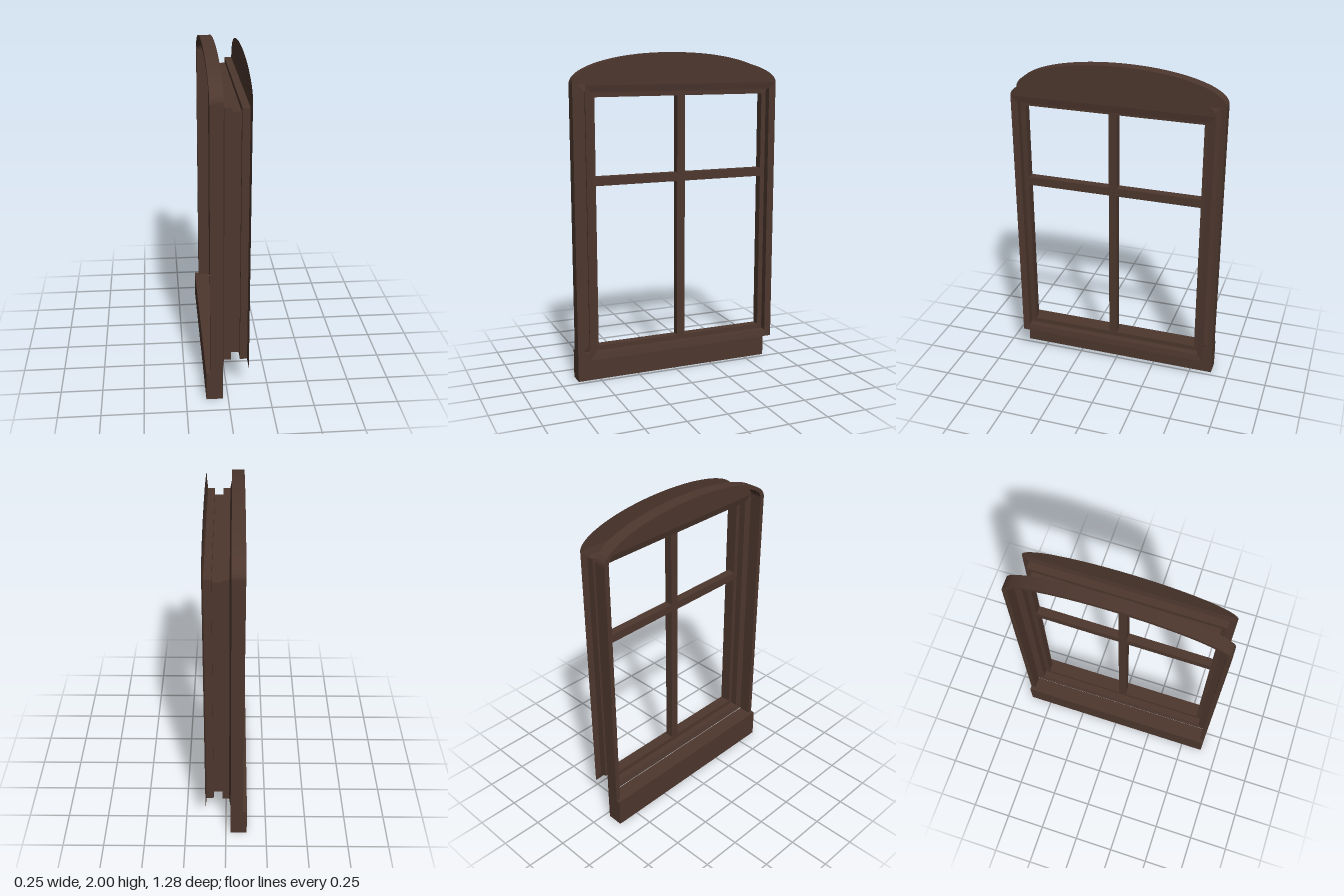
import * as THREE from 'three';

const wood = new THREE.MeshStandardMaterial({ color: 0x4d372e });
wood.name = 'darkBrownWood';
const sheetWood = wood;
sheetWood.side = THREE.DoubleSide;

// Main dimensions
const OPEN_Z = 0.54, OPEN_BOTTOM = 0.257, OPEN_TOP = 1.748;
const SPRING = 1.818;           // height where the arches start
const TRIM = 0.07;              // how far the trim spreads beyond the opening
const INNER_Z = OPEN_Z + TRIM, OUTER_Z = 0.64;
const INNER_RISE = 0.158, OUTER_RISE = 0.182;

export function createModel() {
  const group = new THREE.Group();
  group.name = 'archedWindow';

  const add = (name, geometry) => {
    const mesh = new THREE.Mesh(geometry, wood);
    mesh.name = name;
    group.add(mesh);
    return mesh;
  };

  const addBox = (name, x0, x1, y0, y1, z0, z1) => {
    const mesh = add(name, new THREE.BoxGeometry(x1 - x0, y1 - y0, z1 - z0));
    mesh.position.set((x0 + x1) / 2, (y0 + y1) / 2, (z0 + z1) / 2);
  };

  // Sill
  addBox('sill', -0.13, -0.03, 0, 0.182, -OUTER_Z, OUTER_Z);

  // Arched outer rim, open at the bottom where it meets the sill
  const rim = new THREE.Shape();
  rim.moveTo(OUTER_Z, 0.18);
  rim.lineTo(OUTER_Z, SPRING);
  rim.absellipse(0, SPRING, OUTER_Z, OUTER_RISE, 0, Math.PI, false);
  rim.lineTo(-OUTER_Z, 0.18);
  rim.lineTo(-INNER_Z, 0.18);
  rim.lineTo(-INNER_Z, SPRING);
  rim.absellipse(0, SPRING, INNER_Z, INNER_RISE, Math.PI, 0, true);
  rim.lineTo(INNER_Z, 0.18);
  const rimGeometry = new THREE.ExtrudeGeometry(rim, { depth: 0.075, bevelEnabled: false, curveSegments: 32 });
  rimGeometry.rotateY(Math.PI / 2);
  add('outerRim', rimGeometry).position.x = -0.105;

  // Flat arch panels on both sides of the window
  const arch = new THREE.Shape();
  arch.moveTo(INNER_Z, SPRING);
  arch.absellipse(0, SPRING, INNER_Z, INNER_RISE, 0, Math.PI, false);
  arch.closePath();
  for (const [name, x] of [['outerArchPanel', -0.03], ['innerArchPanel', 0.125]]) {
    const panel = new THREE.ShapeGeometry(arch, 32);
    panel.rotateY(Math.PI / 2);
    add(name, panel).position.x = x;
  }

  // Stepped frame: a thin folded profile carried round the opening.
  // Each point is [x, distance outward from the opening].
  const profile = [
    [-0.03, TRIM], [-0.02, 0.03], [0.022, 0.03], [0.022, 0],
    [0.075, 0], [0.075, 0.03], [0.118, 0.03], [0.125, TRIM],
  ];
  const ring = ([x, d]) => [
    [x, OPEN_BOTTOM - d, OPEN_Z + d], [x, OPEN_BOTTOM - d, -OPEN_Z - d],
    [x, OPEN_TOP + d, -OPEN_Z - d], [x, OPEN_TOP + d, OPEN_Z + d],
  ];
  const positions = [];
  for (let i = 0; i < profile.length - 1; i++) {
    const a = ring(profile[i]), b = ring(profile[i + 1]);
    for (let k = 0; k < 4; k++) {
      const n = (k + 1) % 4;
      positions.push(...a[k], ...b[k], ...b[n], ...a[k], ...b[n], ...a[n]);
    }
  }
  const frame = new THREE.BufferGeometry();
  frame.setAttribute('position', new THREE.Float32BufferAttribute(positions, 3));
  frame.computeVertexNormals();
  add('steppedFrame', frame);

  // Glazing bars
  const barX0 = 0.023, barX1 = 0.074;
  addBox('verticalBar', barX0, barX1, OPEN_BOTTOM, OPEN_TOP, -0.025, 0.025);
  for (const side of [-1, 1]) {
    const z0 = side < 0 ? -OPEN_Z : 0.025;
    addBox(side < 0 ? 'rightCrossBar' : 'leftCrossBar', barX0, barX1, 1.233, 1.285, z0, z0 + OPEN_Z - 0.025);
  }

  return group;
}
